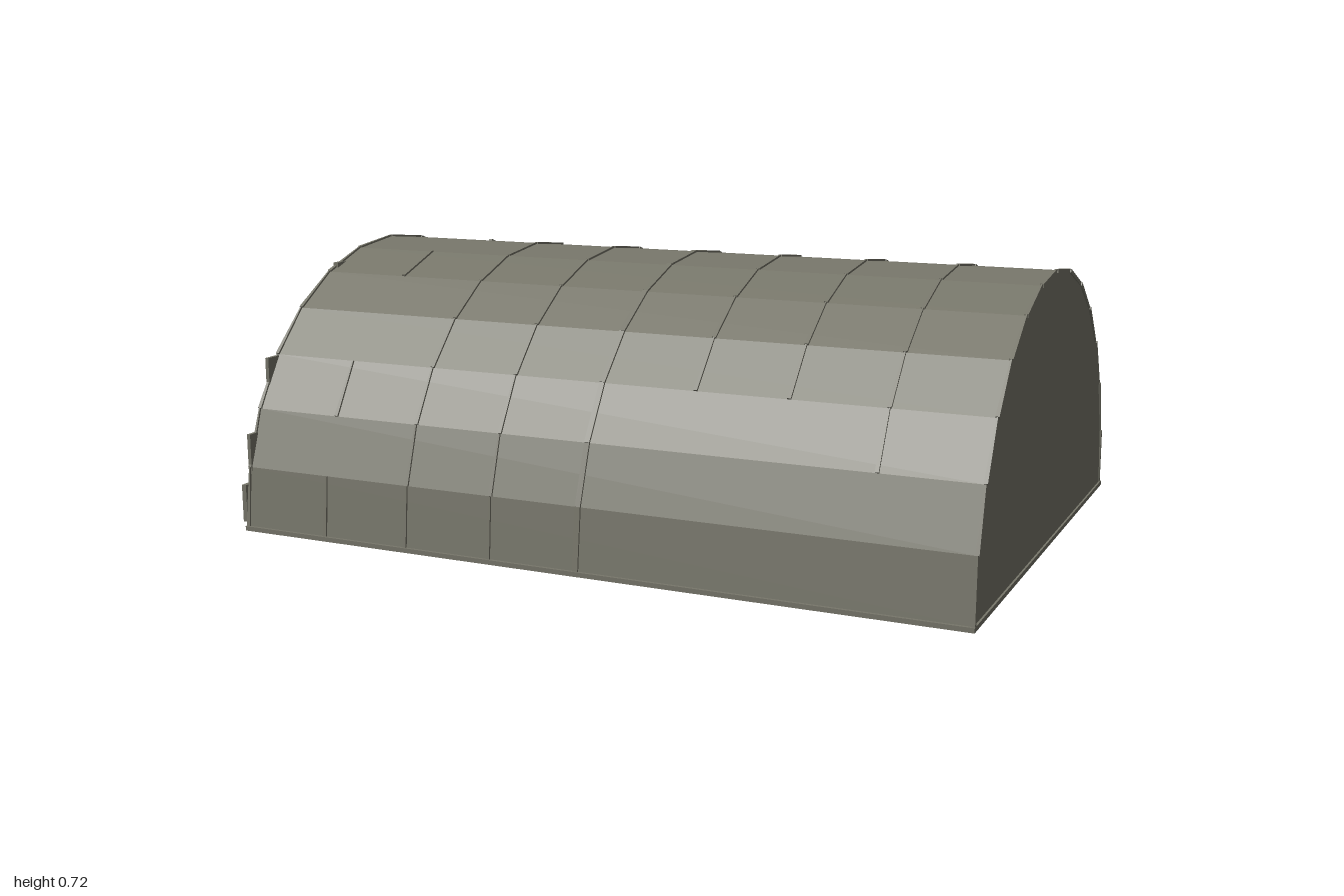
import * as THREE from 'three';

const R = 0.702, BASE = 0.02, SEG = 14;

export function createModel() {
  const model = new THREE.Group();
  model.name = 'archedShelter';
  const metal = new THREE.MeshStandardMaterial({ color: 0x77766a, side: THREE.DoubleSide, flatShading: true });
  metal.name = 'olive grey';

  const add = (name, geometry, parent = model) => {
    const mesh = new THREE.Mesh(geometry, metal);
    mesh.name = name;
    parent.add(mesh);
    return mesh;
  };
  const box = (name, x0, x1, y0, y1, z0, z1) =>
    add(name, new THREE.BoxGeometry(x1 - x0, y1 - y0, z1 - z0))
      .position.set((x0 + x1) / 2, (y0 + y1) / 2, (z0 + z1) / 2);

  // Floor slab
  box('floor', -0.986, 0.99, 0.008, BASE, -0.71, 0.71);

  // Faceted barrel roof, open underneath
  const roof = add('roofShell', new THREE.CylinderGeometry(R, R, 1.965, SEG, 1, true, 0, Math.PI).rotateZ(Math.PI / 2));
  roof.position.set(0.0025, BASE, 0);

  // Closed end wall
  const wall = add('endWall', new THREE.CircleGeometry(R, SEG, 0, Math.PI).rotateY(Math.PI / 2));
  wall.position.set(0.985, BASE, 0);

  // Ribs: one strip per roof facet, numbered from the +z foot to the -z foot
  const all = Array.from({ length: SEG }, (_, k) => k);
  const ribs = [
    [-0.98, all],
    [-0.735, [0, 2, 5, 8, 10, 11, 12]],
    [-0.49, all.filter(k => k !== 8)],
    [-0.245, all.filter(k => k !== 9)],
    [0, all],
    [0.25, [3, 4, 5, 6, 7, 11, 13]],
    [0.49, [3, 4, 5, 6, 7, 8, 9, 11, 12, 13]],
    [0.735, [2, 3, 4, 5, 6, 7, 8, 10, 11]],
    [0.985, all],
  ];
  const apothem = R * Math.cos(Math.PI / SEG / 2);
  const length = 2 * R * Math.sin(Math.PI / SEG / 2);
  for (const [x, facets] of ribs) {
    const rib = new THREE.Group();
    rib.name = 'rib';
    model.add(rib);
    for (const k of facets) {
      const a = (k + 0.5) * Math.PI / SEG;
      const g = new THREE.BoxGeometry(x === 0 ? 0.014 : 0.01, 0.01, length);
      // Side ribs taper towards one end of each strip
      if (x !== 0) {
        const p = g.attributes.position;
        for (let i = 0; i < p.count; i++) if (p.getZ(i) < 0) p.setX(i, p.getX(i) * 0.4);
        g.computeVertexNormals();
      }
      const strip = add('ribStrip', g, rib);
      strip.position.set(x, BASE + Math.sin(a) * apothem, Math.cos(a) * apothem);
      strip.rotation.x = Math.PI / 2 - a;
    }
  }

  // Open end: header beam, and door leaf, side panel and hinge on each side
  box('header', -0.985, -0.97, 0.635, 0.675, -0.28, 0.28);
  for (const s of [-1, 1]) {
    const sided = (name, x0, x1, y0, y1, a, b) =>
      box(name, x0, x1, y0, y1, Math.min(s * a, s * b), Math.max(s * a, s * b));
    sided('doorLeaf', -0.985, -0.975, BASE, 0.455, 0.305, 0.597);
    sided('sidePanel', -0.985, -0.975, BASE, 0.265, 0.61, 0.687);
    sided('hinge', -0.998, -0.985, 0.03, 0.13, 0.672, 0.702);
  }
  return model;
}
